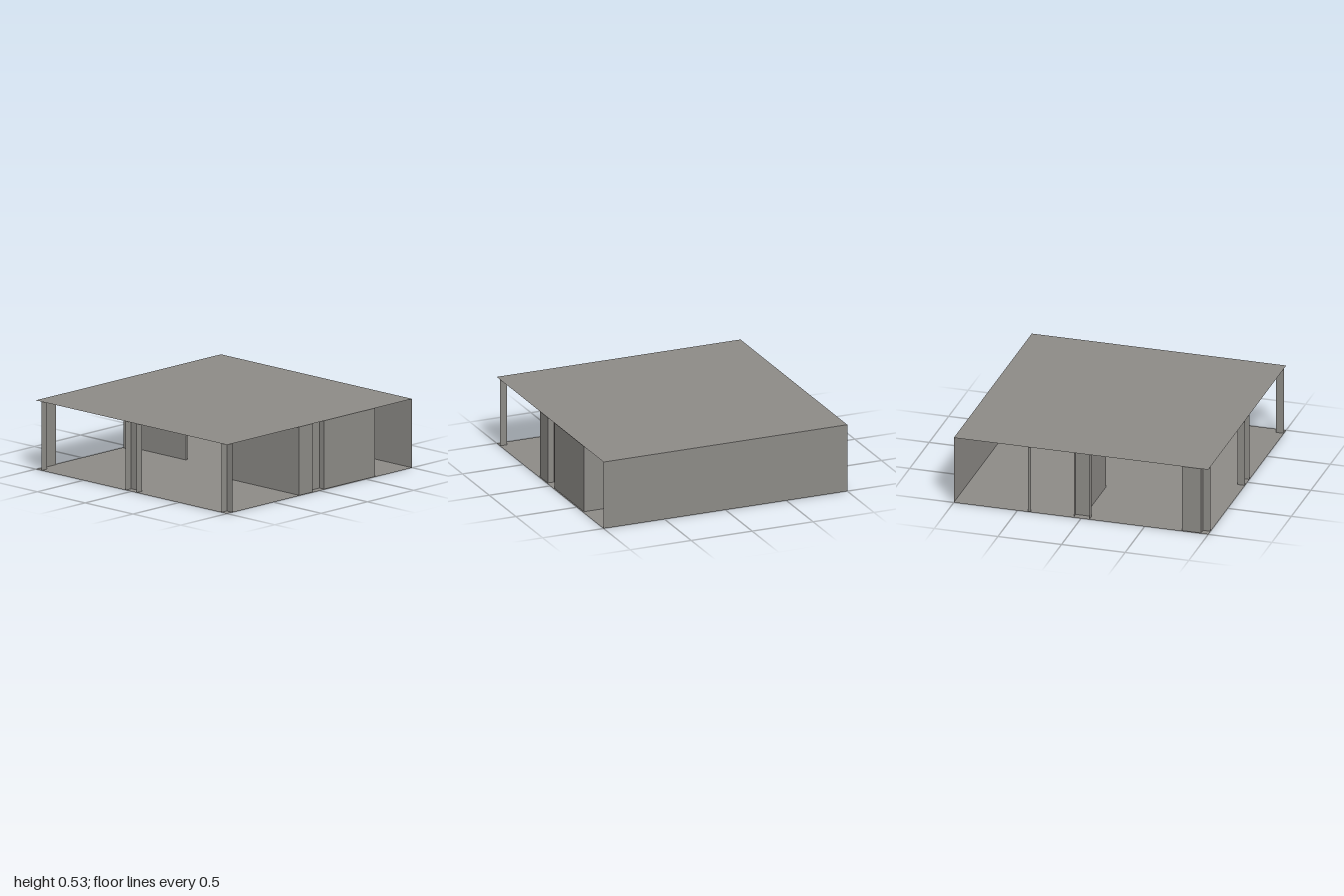
import * as THREE from 'three';

const H = 0.533; // storey height

export function createModel() {
  const model = new THREE.Group();
  model.name = 'pavilion';
  const concrete = new THREE.MeshStandardMaterial({ color: 0x8c8a86, side: THREE.DoubleSide });
  concrete.name = 'warm grey concrete';

  const add = (name, geometry, x, y, z) => {
    const mesh = new THREE.Mesh(geometry, concrete);
    mesh.name = name;
    mesh.position.set(x, y, z);
    model.add(mesh);
    return mesh;
  };

  // Thin upright sheets following a plan path of [x, z] points
  const sheets = (name, path) => {
    const group = new THREE.Group();
    group.name = name;
    for (let i = 1; i < path.length; i++) {
      const [ax, az] = path[i - 1], [bx, bz] = path[i];
      const sheet = add(name + 'Face', new THREE.PlaneGeometry(Math.hypot(bx - ax, bz - az), H),
        (ax + bx) / 2, H / 2, (az + bz) / 2);
      sheet.rotation.y = Math.atan2(az - bz, bx - ax);
      group.add(sheet);
    }
    model.add(group);
  };

  // Inner partitions with a small thickness
  const partition = (name, x0, x1, z0, z1) =>
    add(name, new THREE.BoxGeometry(x1 - x0, H, z1 - z0), (x0 + x1) / 2, H / 2, (z0 + z1) / 2);

  // Floor and roof sheets
  for (const [name, y] of [['floor', 0], ['roof', H]]) {
    add(name, new THREE.PlaneGeometry(2, 2).rotateX(-Math.PI / 2), 0, y, 0);
  }

  // Solid back wall
  sheets('backWall', [[-1, -1], [1, -1]]);

  // Column recesses along the front
  sheets('frontRecess', [[-0.06, 1], [-0.06, 0.94], [0.055, 0.94], [0.055, 1]]);
  sheets('leftCornerRecess', [[0.94, 1], [0.94, 0.94], [1, 0.94]]);
  sheets('rightCornerRecess', [[-0.94, 1], [-0.94, 0.94], [-0.99, 0.94], [-0.99, 0.79]]);

  // Side walls with their column recesses
  sheets('leftSideWall', [[0.99, 0.21], [0.99, 0.065], [0.94, 0.065], [0.94, -0.06],
    [0.99, -0.06], [0.99, -0.61]]);
  sheets('rightSideRecess', [[-0.99, 0.065], [-0.94, 0.065], [-0.94, -0.06], [-0.99, -0.06]]);
  sheets('rightMullion', [[-0.99, -0.395], [-0.99, -0.42]]);

  // Partitions of the enclosed room and the free-standing one
  partition('roomFrontPartition', 0.19, 0.99, 0.19, 0.21);
  partition('roomBackPartition', 0.19, 0.99, -0.61, -0.585);
  partition('roomInnerPartition', 0.19, 0.21, -0.585, 0.19);
  partition('rightPartition', -0.94, -0.39, -0.01, 0.01);

  return model;
}
